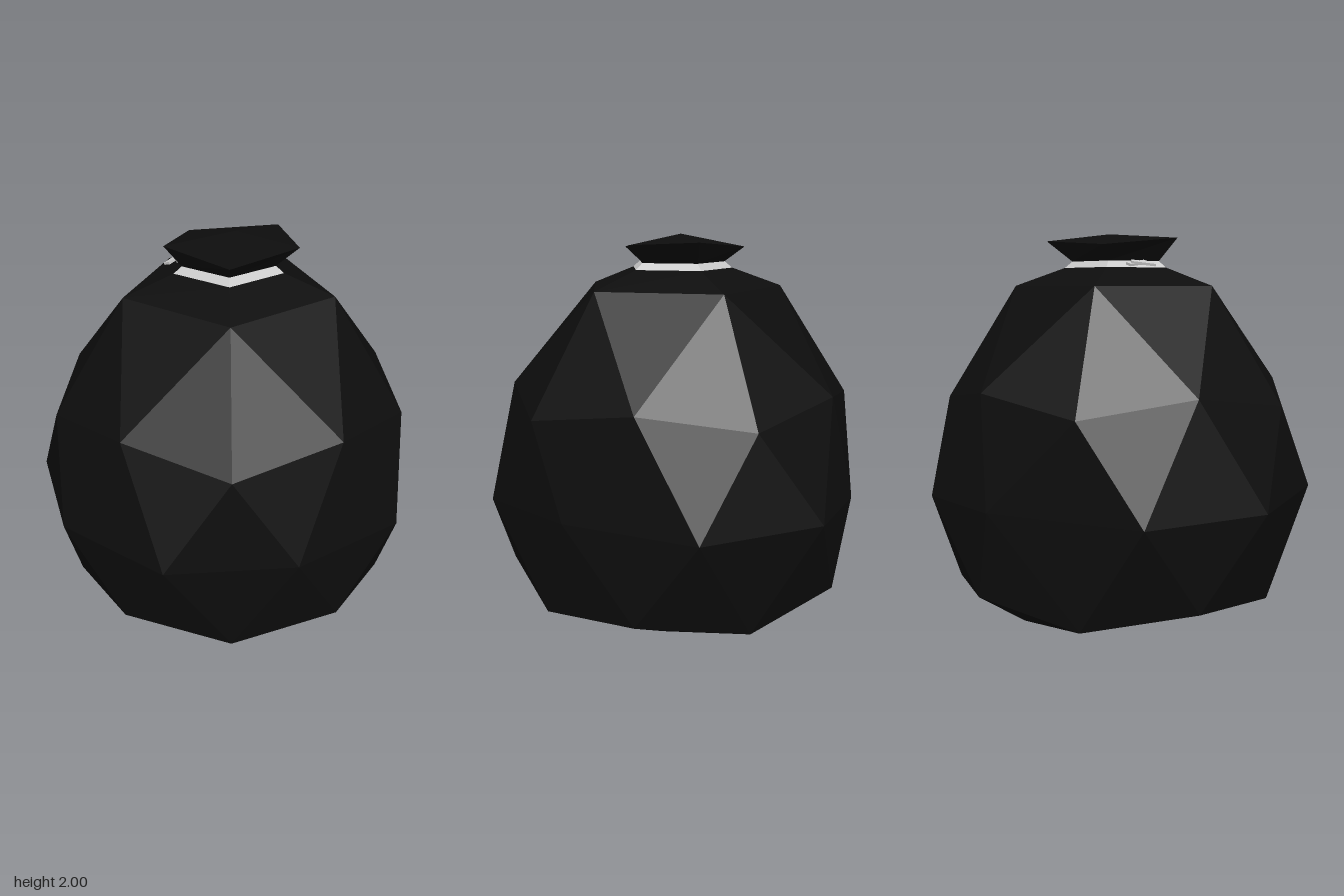
import * as THREE from 'three';

const bagMaterial = new THREE.MeshStandardMaterial({ color: 0x0d0d0d, flatShading: true, side: THREE.DoubleSide });
const tieMaterial = new THREE.MeshStandardMaterial({ color: 0xcccccc, flatShading: true, side: THREE.DoubleSide });
const V = (x, y, z) => new THREE.Vector3(x, y, z);

function meshFrom(name, points, material) {
  const geometry = new THREE.BufferGeometry().setFromPoints(points);
  geometry.computeVertexNormals();
  const mesh = new THREE.Mesh(geometry, material);
  mesh.name = name;
  return mesh;
}

// Five-sided ring around the y axis
const ring = (r, y, turn = 0) => Array.from({ length: 5 }, (_, k) => {
  const a = (k + turn) * Math.PI * 2 / 5;
  return V(r * Math.cos(a), y, r * Math.sin(a));
});

// Triangles joining successive rings, from the bottom up
function loft(rings) {
  const out = [];
  for (let i = 0; i + 1 < rings.length; i++) {
    for (let k = 0; k < 5; k++) {
      const n = (k + 1) % 5, lo = rings[i], hi = rings[i + 1];
      out.push(lo[k], hi[k], lo[n], lo[n], hi[k], hi[n]);
    }
  }
  return out;
}

// Sphere points that are pushed out of place: [unit-sphere position, final position]
const dents = [
  [V(0, -1, 0), V(-0.05, 0, -0.12)],
  [V(-0.526, -0.85, 0), V(-0.52, 0.14, 0)],
  [V(-0.162, -0.85, -0.5), V(-0.16, 0.07, -0.59)],
  [V(-0.162, -0.85, 0.5), V(-0.16, 0.06, 0.37)],
  [V(0.425, -0.85, -0.31), V(0.37, 0.05, -0.31)],
  [V(0.425, -0.85, 0.31), V(0.37, 0.05, 0.31)],
  [V(0.951, 0, -0.309), V(0.88, 0.73, -0.2)],
  [V(0.588, 0, 0.809), V(0.57, 0.73, 0.77)],
  [V(-0.588, 0, -0.809), V(-0.41, 0.73, -0.84)],
  [V(0.276, 0.447, -0.85), V(0.27, 1.177, -0.835)],
  [V(-0.263, 0.526, 0.809), V(-0.26, 1.256, 0.795)],
];

function place(p) {
  const dent = dents.find(([from]) => from.distanceTo(p) < 0.05);
  if (dent) return dent[1].clone();
  return V(p.x, p.y > 0.8 ? 1.74 : p.y + 0.73, p.z);
}

// Once-divided icosahedron, open at the top
function bodyPoints() {
  const top = V(0, 1, 0), bottom = V(0, -1, 0);
  const up = ring(0.8944, 0.4472), low = ring(0.8944, -0.4472, 0.5);
  const out = [];
  const add = (a, b, c) => {
    if ([a, b, c].includes(top)) return;
    out.push(place(a), place(b), place(c));
  };
  const split = (a, b, c) => {
    const normal = b.clone().sub(a).cross(c.clone().sub(a));
    if (normal.dot(a) < 0) [b, c] = [c, b];
    const mid = (p, q) => p.clone().add(q).normalize();
    const ab = mid(a, b), bc = mid(b, c), ca = mid(c, a);
    add(a, ab, ca);
    add(ab, b, bc);
    add(ca, bc, c);
    add(ab, bc, ca);
  };
  for (let k = 0; k < 5; k++) {
    const n = (k + 1) % 5;
    split(top, up[k], up[n]);
    split(up[k], up[n], low[k]);
    split(low[k], low[n], up[n]);
    split(bottom, low[k], low[n]);
  }
  return out;
}

export function createModel() {
  const group = new THREE.Group();
  group.name = 'tiedSack';

  // Faceted sack body and its sloping shoulder
  group.add(meshFrom('sackBody', bodyPoints(), bagMaterial));
  group.add(meshFrom('shoulder', loft([ring(0.526, 1.74), ring(0.275, 1.83)]), bagMaterial));

  // Band around the neck
  group.add(meshFrom('tieBand', loft([ring(0.275, 1.83), ring(0.235, 1.862)]), tieMaterial));

  // Uneven gathered mouth, closed by a low peak
  const rim = [V(0.34, 1.95, -0.03), V(0.1, 1.93, 0.31), V(-0.25, 1.975, 0.21),
    V(-0.27, 1.935, -0.2), V(0.16, 1.965, -0.33)];
  const peak = V(0.02, 2, -0.04);
  const mouth = loft([ring(0.235, 1.862), rim]);
  rim.forEach((p, k) => mouth.push(p, peak, rim[(k + 1) % 5]));
  group.add(meshFrom('gatheredMouth', mouth, bagMaterial));

  // Two short crossing ends of the tie
  [-1, 1].forEach((side) => {
    const end = new THREE.Mesh(new THREE.BoxGeometry(0.035, 0.012, 0.12), tieMaterial);
    end.name = side < 0 ? 'tieEndBack' : 'tieEndFront';
    end.position.set(-0.25 - (side > 0 ? 0.025 : 0), 1.85, side * 0.01);
    end.rotation.set(side * 0.12, -side * 0.3, 0.3);
    group.add(end);
  });
  return group;
}
